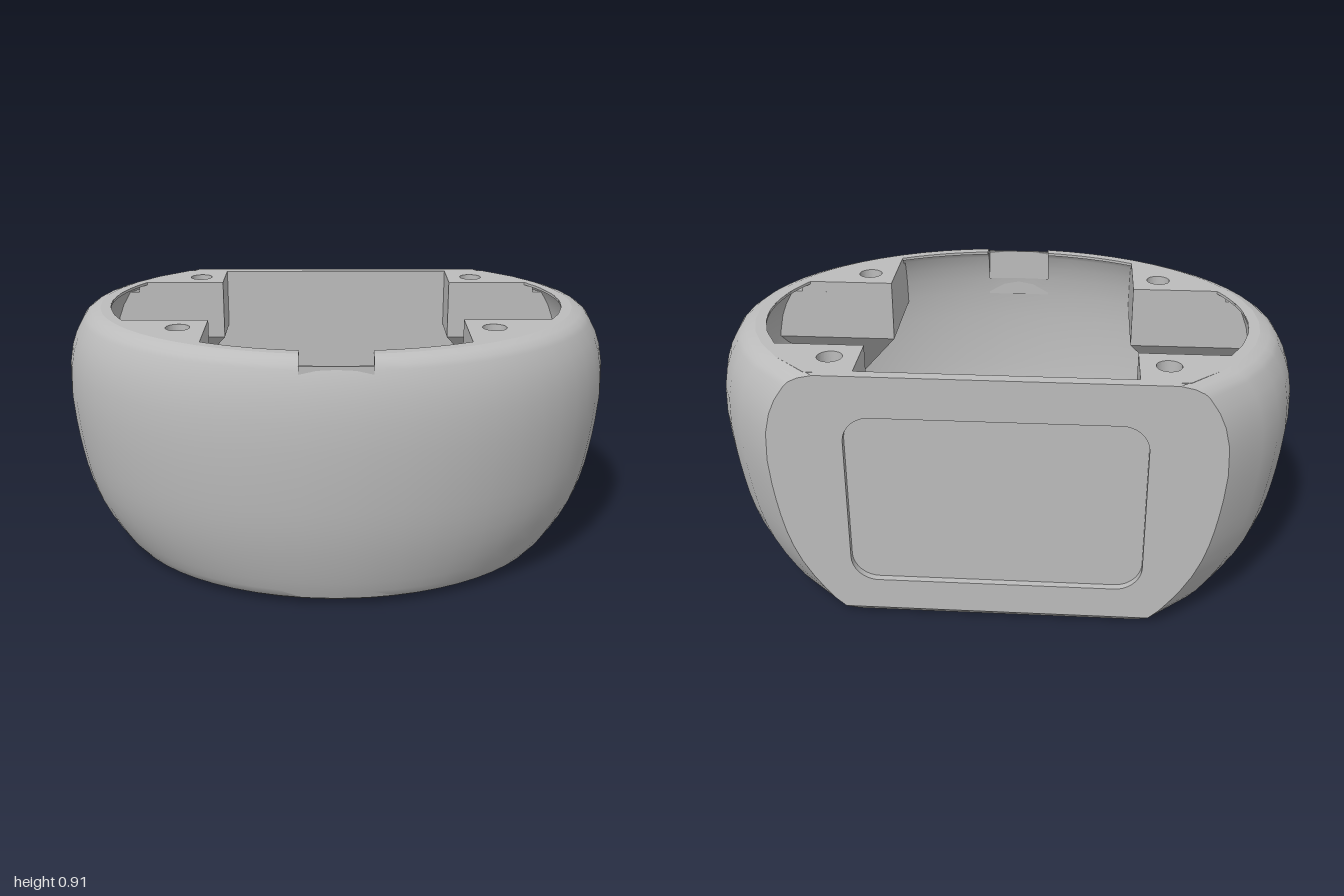
import * as THREE from 'three';
import { toCreasedNormals } from 'three/addons/utils/BufferGeometryUtils.js';
import { ConvexGeometry } from 'three/addons/geometries/ConvexGeometry.js';

const CZ = -0.13;          // centre of the oval plan
const TOP = 0.91, RIM_Y = 0.9, CAP_Y = 0.87, BLOCK_Y = 0.684;
const SLOTS = [0.21, 0.33, 0.45];
const KNOTS = [0, -0.4, -0.3, -0.2, -0.1, 0, 0.1, 0.2];
const HALF = 20, NOTCH_K = 18, NOTCH_X = 0.12, NOTCH_Z = 0.613;
const NOTCH_OUT = 0.885, NOTCH_IN = 0.77;   // heights where the notch opens each skin

// Oval cross-sections: height, half width, half depth
const OUTER = [
  [0, 0.765, 0.64], [0.03, 0.81, 0.69], [0.06, 0.84, 0.703], [0.1, 0.868, 0.717], [0.15, 0.9, 0.732],
  [0.21, 0.93, 0.748], [0.27, 0.951, 0.761], [0.33, 0.966, 0.771], [0.39, 0.977, 0.778], [0.45, 0.986, 0.783],
  [0.51, 0.993, 0.787], [0.6, 1, 0.79], [0.7, 0.996, 0.788], [0.77, 0.983, 0.779], [0.82, 0.965, 0.768],
  [CAP_Y, 0.938, 0.751], [NOTCH_OUT, 0.926, 0.743], [RIM_Y, 0.905, 0.725], [TOP, 0.873, 0.7]];
// The inside follows the outside, a little thicker near the floor
const INNER = OUTER.slice(1).map(([y, rx, rz]) => {
  const t = 0.038 + 0.032 * Math.max(0, 1 - (y - 0.03) / 0.12);
  return [y, rx - t, rz - t];
});

// Point on a cross-section; k runs from the flat back (0) to the front centre (HALF)
function pointOn([y, rx, rz], k, side, back) {
  const a = k === 0 ? back : KNOTS[Math.min(k, 7)];
  let phi = Math.asin(a / rz);
  if (k > 7 && k <= NOTCH_K) {
    phi = THREE.MathUtils.lerp(phi, Math.acos(NOTCH_X / rx), (k - 7) / (NOTCH_K - 7));
  } else if (k > NOTCH_K) {
    phi = k === HALF ? Math.PI / 2 : Math.acos(NOTCH_X / 2 / rx);
  }
  return new THREE.Vector3(side * rx * Math.cos(phi), y, CZ + rz * Math.sin(phi));
}
const outerBack = (y) => (y < 0.03 ? -0.5 : -0.53);
const innerBack = () => -0.49;

function quad(out, a, b, c, d) {
  for (const p of [a, b, c, a, c, d]) out.push(p.x, p.y, p.z);
}
function toGeometry(list, crease = 0.6) {
  const g = new THREE.BufferGeometry();
  g.setAttribute('position', new THREE.Float32BufferAttribute(list, 3));
  return toCreasedNormals(g, crease);
}

// Curved wall, leaving out the side vents and the front notch
function skin(rows, back, outward, notchY) {
  const out = [];
  const at = (i, j) => pointOn(rows[i], j <= HALF ? j : 2 * HALF - j, j <= HALF ? 1 : -1, back(rows[i][0]));
  for (let i = 0; i < rows.length - 1; i++) {
    for (let j = 0; j < 2 * HALF; j++) {
      const k = j < HALF ? j : 2 * HALF - 1 - j, y = rows[i][0];
      if (SLOTS.includes(y) && k >= 3 && k < 7) continue;
      if (y >= notchY && k >= NOTCH_K) continue;
      const a = at(i, j), b = at(i, j + 1), c = at(i + 1, j + 1), d = at(i + 1, j);
      if (outward) quad(out, a, d, c, b); else quad(out, a, b, c, d);
    }
  }
  return toGeometry(out);
}

// Inside faces of the vents, joining the two skins
function ventWalls(side) {
  const out = [];
  for (const y of SLOTS) {
    const i = OUTER.findIndex((r) => r[0] === y);
    const o = (up, k) => pointOn(OUTER[i + up], k, side, -0.53);
    const n = (up, k) => pointOn(INNER[i - 1 + up], k, side, -0.49);
    for (let k = 3; k < 7; k++) {
      quad(out, o(0, k), n(0, k), n(0, k + 1), o(0, k + 1));
      quad(out, o(1, k), o(1, k + 1), n(1, k + 1), n(1, k));
    }
    quad(out, o(0, 3), o(1, 3), n(1, 3), n(0, 3));
    quad(out, o(0, 7), n(0, 7), n(1, 7), o(1, 7));
  }
  return toGeometry(out, 0.3);
}

// Side faces of the front notch, from the inner skin out to the notch back
function notchSide(side) {
  const out = [];
  const near = (i) => pointOn(INNER[i], NOTCH_K, side, -0.49);
  const far = (i) => {
    const p = pointOn(OUTER[i + 1], NOTCH_K, side, -0.53);
    p.z = Math.min(p.z, NOTCH_Z);
    return p;
  };
  for (let i = INNER.findIndex((r) => r[0] === NOTCH_IN); i < INNER.length - 1; i++) {
    quad(out, near(i), far(i), far(i + 1), near(i + 1));
  }
  return toGeometry(out);
}

// Horizontal slab from [x, z] points, with round holes [x, z, r]
function slab(points, holes, y0, y1) {
  const s = new THREE.Shape(points.map(([x, z]) => new THREE.Vector2(x, -z)));
  for (const [x, z, r] of holes) s.holes.push(new THREE.Path().absarc(x, -z, r, 0, Math.PI * 2, true));
  const g = new THREE.ExtrudeGeometry(s, { depth: y1 - y0, bevelEnabled: false, curveSegments: 24 });
  return g.rotateX(-Math.PI / 2).translate(0, y0, 0);
}

function roundedRect(w, y0, y1, r) {
  const p = new THREE.Path();
  p.absarc(w - r, y0 + r, r, -Math.PI / 2, 0);
  p.absarc(w - r, y1 - r, r, 0, Math.PI / 2);
  p.absarc(-w + r, y1 - r, r, Math.PI / 2, Math.PI);
  p.absarc(-w + r, y0 + r, r, Math.PI, Math.PI * 1.5);
  p.closePath();
  return p;
}

// Plan of one left screw block on an oval: square inner corner, then along the wall
function blockPlan(front, rx, rz) {
  const from = Math.asin((front ? 0.28 : -0.29) / rz);
  const to = front ? Math.acos(0.45 / rx) : Math.asin(-0.495 / rz);
  const points = [[0.45, front ? 0.15 : -0.42]];
  for (let i = 0; i <= 8; i++) {
    const phi = THREE.MathUtils.lerp(from, to, i / 8);
    points.push([rx * Math.cos(phi), CZ + rz * Math.sin(phi)]);
  }
  if (!front) points.push([0.45, -0.625]);
  return points;
}

export function createModel() {
  const group = new THREE.Group();
  const grey = new THREE.MeshStandardMaterial({ color: 0xbcbcbc, side: THREE.DoubleSide });
  grey.name = 'plain grey';
  const add = (name, geometry) => {
    const m = new THREE.Mesh(geometry, grey);
    m.name = name;
    group.add(m);
  };

  // Thin curved walls and side vents
  add('outerWall', skin(OUTER, outerBack, true, NOTCH_OUT));
  add('innerWall', skin(INNER, innerBack, false, NOTCH_IN));
  add('leftVents', ventWalls(1));
  add('rightVents', ventWalls(-1));

  // Floor with a large central hole and two small screw holes
  const outline = (row, back, last) => {
    const half = [];
    for (let k = last; k >= 0; k--) {
      const p = pointOn(row, k, 1, back);
      half.push([p.x, p.z]);
    }
    return [...half, ...half.slice().reverse().map(([x, z]) => [-x, z])];
  };
  const floorLine = outline(OUTER[0], -0.5, HALF);
  floorLine.pop();
  add('floor', slab(floorLine, [[0, CZ, 0.18], [0.415, CZ, 0.037], [-0.415, CZ, 0.037]], 0, 0.04));
  for (const s of [1, -1]) {
    add('floorStandoff', new THREE.CylinderGeometry(0.088, 0.088, 0.07, 32).translate(s * 0.415, 0.07, CZ));
  }

  // Thin rim around the opening, broken by the front notch
  const [, lipX, lipZ] = INNER[INNER.length - 1];
  const opening = [];
  for (let i = 0; i <= 6; i++) {
    const x = THREE.MathUtils.lerp(NOTCH_X, 0.45, i / 6);
    opening.push([x, CZ + lipZ * Math.sqrt(1 - (x / lipX) ** 2)]);
  }
  opening.push([0.45, 0.15]);
  for (let i = 0; i <= 10; i++) {
    const z = THREE.MathUtils.lerp(0.15, -0.42, i / 10);
    opening.push([lipX * Math.sqrt(1 - ((z - CZ) / lipZ) ** 2), z]);
  }
  opening.push([0.45, -0.42], [0.45, -0.62]);
  const rimLine = [
    ...outline(OUTER[OUTER.length - 1], -0.505, NOTCH_K),
    ...opening.map(([x, z]) => [-x, z]),
    ...opening.slice().reverse()];
  const screws = [];
  for (const s of [1, -1]) for (const z of [-0.515, 0.25]) screws.push([s * 0.545, z, 0.042]);
  add('rim', slab(rimLine, screws, RIM_Y, TOP));

  // Screw blocks against the wall, each tapering to a point below
  for (const s of [1, -1]) {
    for (const front of [true, false]) {
      const mirror = ([x, z]) => [s * x, z];
      add('screwBlockTop', slab(blockPlan(front, 0.865, 0.69).map(mirror),
        [[s * 0.545, front ? 0.25 : -0.515, 0.042]], CAP_Y, RIM_Y));
      const hull = [front ? [0.66, 0.39, 0.4] : [0.65, 0.43, -0.625]];
      const rows = [[BLOCK_Y, 0.965, 0.757], ...INNER.filter(([y]) => y > BLOCK_Y && y <= CAP_Y)];
      for (const [y, rx, rz] of rows) {
        for (const [x, z] of blockPlan(front, rx + 0.005, rz + 0.005)) hull.push([x, y, z]);
      }
      add('screwBlock', new ConvexGeometry(hull.map(([x, y, z]) => new THREE.Vector3(s * x, y, z))));
    }
    add('notchSide', notchSide(s));
  }

  // Flat back of the notch, fading into the wall below
  add('notchBack', new THREE.BoxGeometry(2 * NOTCH_X, NOTCH_OUT - 0.7, 0.006)
    .translate(0, (NOTCH_OUT + 0.7) / 2, NOTCH_Z + 0.003));

  // Flat back with a shallow rounded recess
  const edge = OUTER.slice(1).map((row) => pointOn(row, 0, 1, -0.53));
  const backLine = [
    ...edge.map((p) => new THREE.Vector2(p.x, p.y)),
    ...edge.slice().reverse().map((p) => new THREE.Vector2(-p.x, p.y))];
  const frame = new THREE.Shape(backLine);
  frame.holes.push(roundedRect(0.49, 0.145, 0.765, 0.09));
  add('backFrame', new THREE.ExtrudeGeometry(frame, { depth: 0.025, bevelEnabled: false, curveSegments: 10 })
    .translate(0, 0, -0.66));
  add('backPanel', new THREE.ExtrudeGeometry(new THREE.Shape(backLine), { depth: 0.015, bevelEnabled: false })
    .translate(0, 0, -0.635));

  // Bevel along the lower back edge
  const bevel = [];
  const ends = (i, s) => pointOn(OUTER[i], 0, s, outerBack(OUTER[i][0]));
  quad(bevel, ends(0, 1), ends(0, -1), ends(1, -1), ends(1, 1));
  add('backBevel', toGeometry(bevel));

  return group;
}
